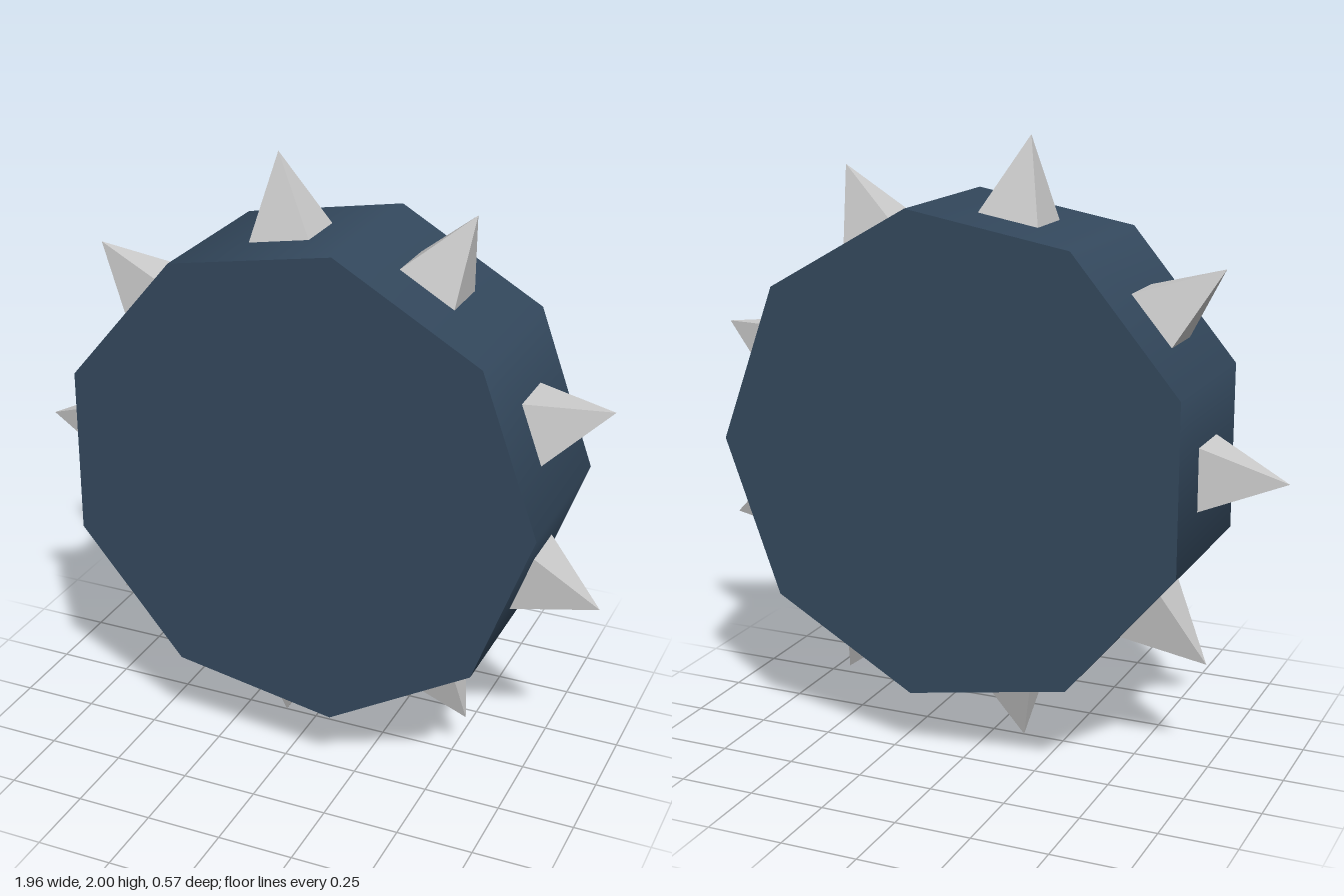
import * as THREE from 'three';

const CENTER = new THREE.Vector2(0.035, 1.003);
const RADIUS = 0.8;
const SIDES = 9;
const DEPTH = 0.566;

// Spike tips: one per drum facet, slightly irregular
const TIPS = [
  [0.975, 1.33], [0.52, 1.88], [-0.125, 2.0],
  [-0.76, 1.625], [-0.98, 0.98], [-0.735, 0.355],
  [-0.11, 0.005], [0.545, 0.145], [0.97, 0.655],
];

// Four-sided pyramid with its base at y = 0
function spikeGeometry(height, halfWidth, halfDepth) {
  const g = new THREE.ConeGeometry(Math.SQRT2, height, 4, 1, false, Math.PI / 4);
  g.translate(0, height / 2, 0);
  g.scale(halfWidth, 1, halfDepth);
  const flat = g.toNonIndexed();
  flat.computeVertexNormals();
  return flat;
}

export function createModel() {
  const group = new THREE.Group();
  group.name = 'spikedDrum';

  const drumMaterial = new THREE.MeshStandardMaterial({ color: 0x34495e });
  const spikeMaterial = new THREE.MeshStandardMaterial({ color: 0xcccccc, flatShading: true });

  // Nine-sided drum, softly shaded rim with sharp flat ends
  const drumGeometry = new THREE.CylinderGeometry(RADIUS, RADIUS, DEPTH, SIDES, 1, false, Math.PI / 2);
  drumGeometry.rotateX(Math.PI / 2);
  const drum = new THREE.Mesh(drumGeometry, drumMaterial);
  drum.name = 'drum';
  drum.position.set(CENTER.x, CENTER.y, 0);
  group.add(drum);

  // Spikes around the rim, sunk a little into the facets
  const apothem = RADIUS * Math.cos(Math.PI / SIDES);
  const sink = 0.02;
  TIPS.forEach(([x, y], i) => {
    const out = new THREE.Vector2(x, y).sub(CENTER);
    const visible = out.length() - apothem;
    const height = visible + sink;
    const grow = height / visible;
    const spike = new THREE.Mesh(spikeGeometry(height, 0.102 * grow, 0.09 * grow), spikeMaterial);
    spike.name = `spike${i + 1}`;
    const base = out.clone().setLength(apothem - sink).add(CENTER);
    spike.position.set(base.x, base.y, 0);
    spike.rotation.z = out.angle() - Math.PI / 2;
    group.add(spike);
  });

  return group;
}
